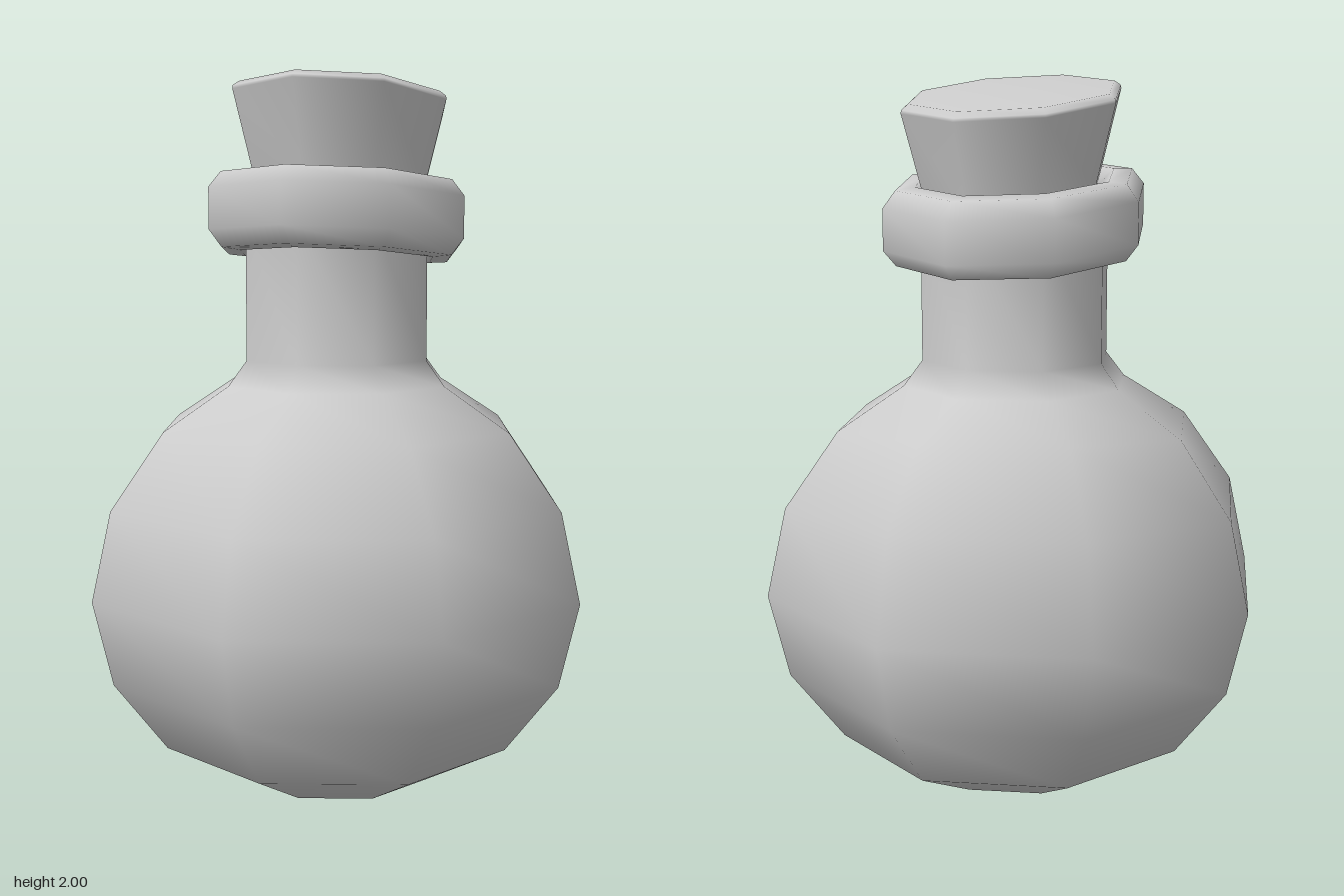
import * as THREE from 'three';
import { mergeVertices } from 'three/addons/utils/BufferGeometryUtils.js';

const material = new THREE.MeshStandardMaterial({ color: 0xcccccc });
const SIDES = 8;

// Smooth eight-sided turned part; profile is [distance to the flat side, height]
function turned(name, profile, deform) {
  const points = profile.map(([r, y]) => new THREE.Vector2(r / Math.cos(Math.PI / SIDES), y));
  let geometry = new THREE.LatheGeometry(points, SIDES, Math.PI / SIDES);
  geometry.deleteAttribute('normal');
  geometry.deleteAttribute('uv');
  const position = geometry.attributes.position;
  const v = new THREE.Vector3();
  for (let i = 0; i < position.count; i++) {
    v.fromBufferAttribute(position, i);
    deform(v);
    position.setXYZ(i, v.x, v.y, v.z);
  }
  geometry = mergeVertices(geometry, 1e-4);
  geometry.computeVertexNormals();
  const mesh = new THREE.Mesh(geometry, material);
  mesh.name = name;
  return mesh;
}

// Slant a part: height changes linearly with x and z
const slant = (sx, sz, dx = 0) => (v) => {
  v.y += sx * v.x + sz * v.z;
  v.x += dx;
};

export function createModel() {
  const group = new THREE.Group();
  group.name = 'corkedFlask';

  // Round body and straight neck, with a slightly raised back shoulder
  group.add(turned('flaskBody', [
    [0, 0], [0.25, 0.005], [0.475, 0.13], [0.615, 0.33], [0.667, 0.57],
    [0.615, 0.82], [0.475, 1.03], [0.3, 1.15], [0.25, 1.22], [0.25, 1.6],
  ], (v) => {
    if (v.z < -0.45 && v.y > 0.7) v.y += 0.035;
  }));

  // Slanted rounded lip around the neck
  group.add(turned('neckRing', [
    [0.22, 1.53], [0.265, 1.505], [0.315, 1.51], [0.348, 1.555],
    [0.348, 1.67], [0.315, 1.715], [0.265, 1.72], [0.22, 1.69], [0.22, 1.53],
  ], slant(-0.035, 0.11)));

  // Slanted, tapering stopper with a bevelled top edge
  group.add(turned('cork', [
    [0, 1.5], [0.19, 1.5], [0.235, 1.7], [0.29, 1.928], [0.289, 1.937],
    [0.272, 1.951], [0, 1.953],
  ], slant(-0.05, 0.155, 0.008)));

  return group;
}
